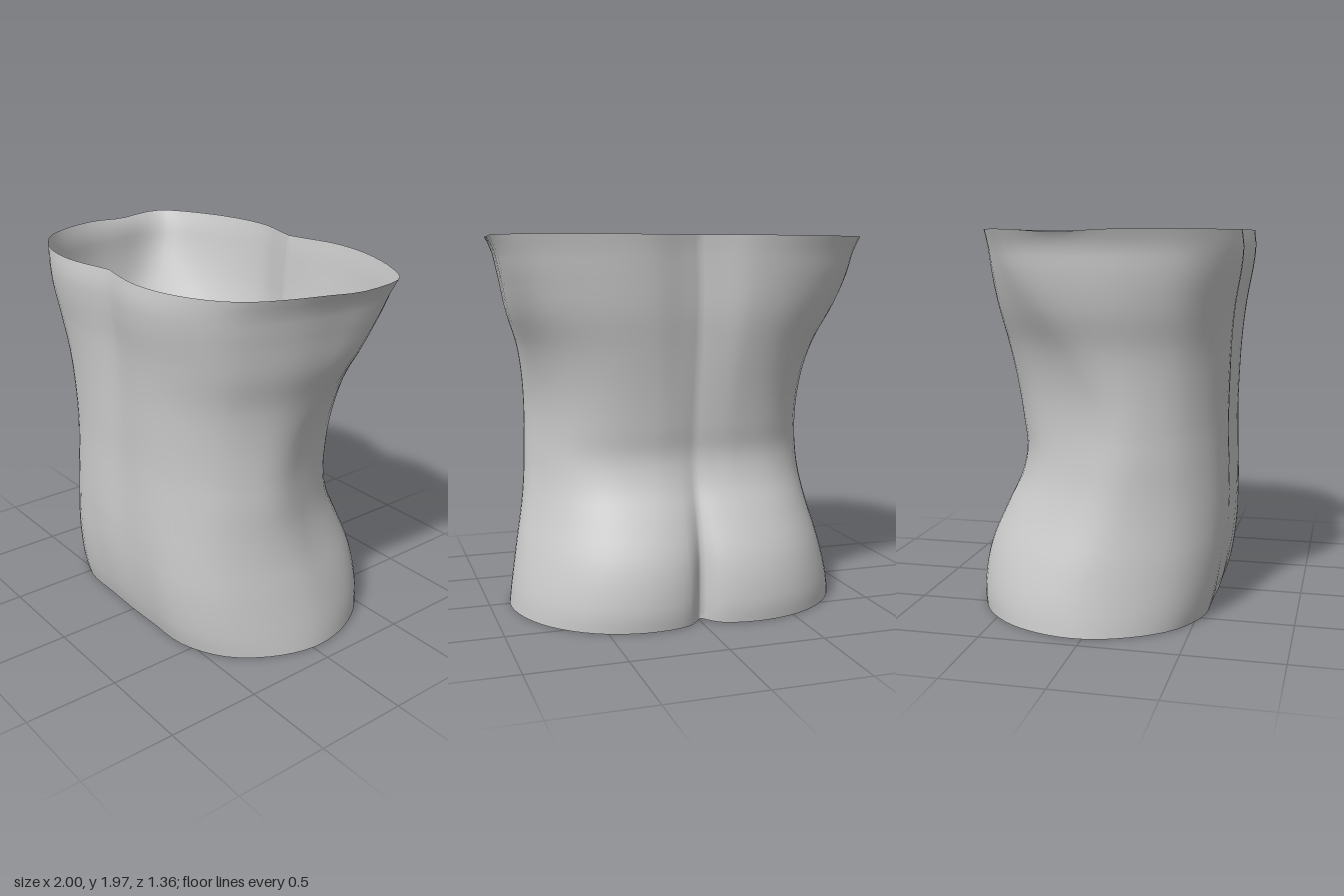
import * as THREE from 'three';

// Half cross-sections as [x, z], from front centre round the left side to back centre
const hips = [[0, .545], [.2, .54], [.45, .53], [.68, .42], [.83, .23], [.905, 0], [.88, -.22], [.77, -.44], [.57, -.61], [.32, -.68], [.09, -.645], [0, -.55]];
const waist = [[0, .595], [.25, .61], [.45, .57], [.64, .45], [.745, .3], [.785, .16], [.755, 0], [.63, -.28], [.45, -.41], [.22, -.46], [.09, -.455], [0, -.44]];
const chest = [[0, .63], [.3, .68], [.58, .63], [.81, .48], [.94, .22], [.985, -.05], [.985, -.36], [.82, -.49], [.53, -.6], [.28, -.62], [.1, -.575], [0, -.55]];

// Silhouette: height, half width, front depth, back depth
const profile = [
  [.01, .905, .55, .67], [.1, .895, .575, .68], [.33, .855, .61, .65], [.55, .81, .62, .56], [.7, .79, .618, .49],
  [.85, .782, .613, .457], [1, .777, .61, .475], [1.2, .788, .615, .505], [1.4, .825, .625, .54],
  [1.6, .897, .645, .575], [1.8, .945, .678, .595], [1.9, .965, .685, .603], [1.98, 1, .675, .613],
];

const HALF = 44; // segments in half a ring
const ROWS = 48;

// Smooth half ring, scaled so its width, front and back extents are all 1
function sampleSection(points) {
  const curve = new THREE.CatmullRomCurve3(points.map(([x, z]) => new THREE.Vector3(x, 0, z)));
  const ring = Array.from({ length: HALF + 1 }, (_, i) => curve.getPoint(i / HALF));
  const width = Math.max(...ring.map(p => p.x));
  const front = Math.max(...ring.map(p => p.z));
  const back = -Math.min(...ring.map(p => p.z));
  return ring.map(p => [p.x / width, p.z / (p.z > 0 ? front : back)]);
}

function torsoGeometry() {
  const sections = [hips, waist, chest].map(sampleSection);
  const silhouette = new THREE.CubicInterpolant(
    profile.map(p => p[0]), profile.flatMap(p => p.slice(1)), 3, new Float32Array(3));
  const ringSize = HALF * 2;
  const positions = [];
  const indices = [];

  for (let row = 0; row <= ROWS; row++) {
    const y = .01 + 1.97 * row / ROWS;
    const [width, front, back] = silhouette.evaluate(y);
    const hip = 1 - THREE.MathUtils.smoothstep(y, .05, .95);
    const top = THREE.MathUtils.smoothstep(y, 1, 2);
    const weights = [hip, 1 - hip - top, top];
    const shift = -.013 * (1 - THREE.MathUtils.smoothstep(y, 1.7, 1.98));

    for (let k = 0; k < ringSize; k++) {
      const mirrored = k > HALF;
      const i = mirrored ? ringSize - k : k;
      let x = 0, z = 0;
      sections.forEach((s, n) => {
        x += s[i][0] * weights[n];
        z += s[i][1] * weights[n];
      });
      x *= width * (mirrored ? -1 : 1);
      z *= z > 0 ? front : back;
      // The upper rim dips slightly under each arm
      const dip = row === ROWS && Math.abs(x) > .9 ? .015 * Math.exp(-(((z + .1) / .15) ** 2)) : 0;
      positions.push(x + shift, y - dip, z);

      if (row < ROWS) {
        const a = row * ringSize + k;
        const b = row * ringSize + (k + 1) % ringSize;
        indices.push(a, b, b + ringSize, a, b + ringSize, a + ringSize);
      }
    }
  }

  const geometry = new THREE.BufferGeometry();
  geometry.setAttribute('position', new THREE.Float32BufferAttribute(positions, 3));
  geometry.setIndex(indices);
  geometry.computeVertexNormals();
  return geometry;
}

export function createModel() {
  const group = new THREE.Group();
  group.name = 'torsoShell';
  const grey = new THREE.MeshStandardMaterial({ color: 0xcccccc, side: THREE.DoubleSide });
  grey.name = 'light grey';
  const torso = new THREE.Mesh(torsoGeometry(), grey);
  torso.name = 'torso';
  group.add(torso);
  return group;
}
